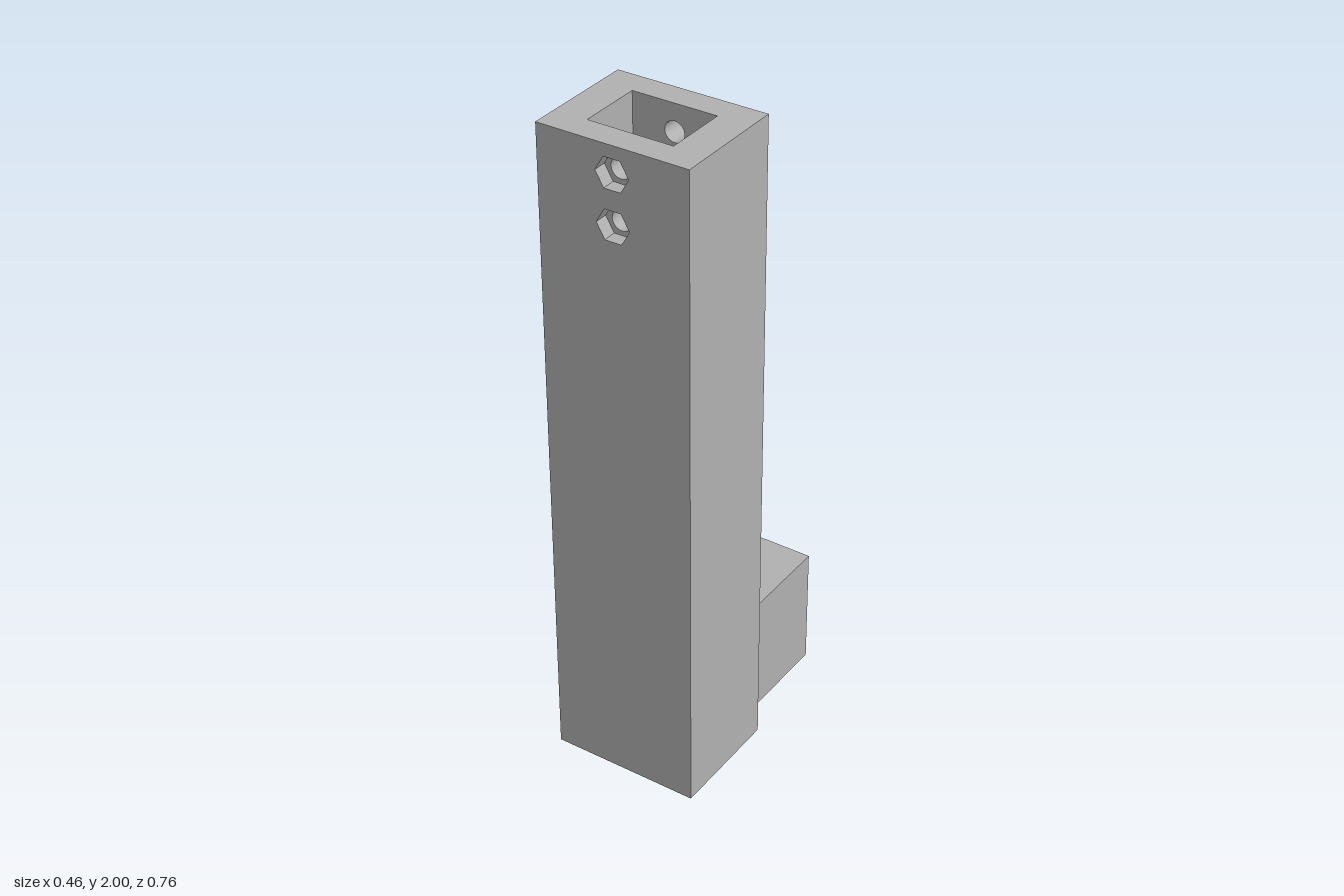
import * as THREE from 'three';
import { mergeGeometries } from 'three/addons/utils/BufferGeometryUtils.js';

const SIDES = 28;

// closed polygon with n sides, first corner pointing along +x
function ring(cx, cy, r, n = SIDES) {
  const pts = [];
  for (let i = 0; i < n; i++) {
    const a = (i / n) * Math.PI * 2;
    pts.push(new THREE.Vector2(cx + r * Math.cos(a), cy + r * Math.sin(a)));
  }
  return new THREE.Path(pts);
}

function rectPoints(x0, y0, x1, y1) {
  return [[x0, y0], [x1, y0], [x1, y1], [x0, y1]].map(p => new THREE.Vector2(...p));
}

// flat rectangle with optional holes, turned to face one axis and placed at depth d;
// shape coordinates: z faces (x, y), y faces (x, z), x faces (z, y)
function panel(facing, d, rect, holes = []) {
  let [x0, y0, x1, y1] = rect;
  if (facing === '+x') [x0, x1] = [-x1, -x0];
  if (facing === '-z') [x0, x1] = [-x1, -x0];
  if (facing === '+y') [y0, y1] = [-y1, -y0];
  const shape = new THREE.Shape(rectPoints(x0, y0, x1, y1));
  shape.holes = holes;
  const g = new THREE.ShapeGeometry(shape);
  const turn = {
    '+z': [0, 0], '-z': [0, Math.PI], '+y': [-Math.PI / 2, 0],
    '-y': [Math.PI / 2, 0], '+x': [0, Math.PI / 2], '-x': [0, -Math.PI / 2]
  }[facing];
  g.rotateX(turn[0]).rotateY(turn[1]);
  const o = { x: [d, 0, 0], y: [0, d, 0], z: [0, 0, d] }[facing[1]];
  return g.translate(...o).toNonIndexed();
}

// open wall of a bore running along z
function bore(y, r, z0, z1, n = SIDES) {
  const g = new THREE.CylinderGeometry(r, r, z1 - z0, n, 1, true, Math.PI / 2);
  g.rotateX(Math.PI / 2).translate(0, y, (z0 + z1) / 2);
  const flat = g.toNonIndexed();
  if (n < 12) flat.computeVertexNormals();
  return flat;
}

export function createModel() {
  const model = new THREE.Group();
  const grey = new THREE.MeshStandardMaterial({ color: 0xb0b0b0, side: THREE.DoubleSide });
  grey.name = 'grey';
  const add = (name, parts) => {
    const mesh = new THREE.Mesh(mergeGeometries(parts), grey);
    mesh.name = name;
    model.add(mesh);
  };

  // column
  const W = 0.2275, F = 0.38, B = 0.028, H = 2;
  const px = 0.128, pf = 0.3, pb = 0.107, floor = 1.69;
  const boltY = [1.92, 1.775], boltR = 0.03, nutR = 0.05, nutZ = 0.34;
  const boltHoles = () => boltY.map(y => ring(0, y, boltR));
  const nutHoles = boltY.map(y => ring(0, y, nutR, 6));
  add('column', [
    panel('+z', F, [-W, 0, W, H], nutHoles),
    panel('-z', B, [-W, 0, W, H], boltHoles()),
    panel('+x', W, [B, 0, F, H]),
    panel('-x', -W, [B, 0, F, H]),
    panel('-y', 0, [-W, B, W, F]),
    panel('+y', H, [-W, B, W, F], [new THREE.Path(rectPoints(-px, -pf, px, -pb))])
  ]);

  // socket sunk into the top of the column
  add('topSocket', [
    panel('-z', pf, [-px, floor, px, H], boltHoles()),
    panel('+z', pb, [-px, floor, px, H], boltHoles()),
    panel('-x', px, [pb, floor, pf, H]),
    panel('+x', -px, [pb, floor, pf, H]),
    panel('+y', floor, [-px, pb, px, pf])
  ]);

  // cross bolt holes with hexagonal nut recesses at the front
  for (const y of boltY) {
    const seat = new THREE.Shape(ring(0, y, nutR, 6).getPoints());
    seat.holes.push(ring(0, y, boltR));
    add('boltHole', [
      bore(y, boltR, B, pb),
      bore(y, boltR, pf, nutZ),
      bore(y, nutR, nutZ, F, 6),
      new THREE.ShapeGeometry(seat).translate(0, 0, nutZ).toNonIndexed()
    ]);
  }

  // foot block behind the column
  const w = 0.164, h = 0.375, back = -0.345, cy = 0.19, holeR = 0.042;
  const sx = 0.09, s0 = -0.32, s1 = -0.26, sTop = 0.28, end = -0.1;
  add('footBlock', [
    panel('-z', back, [-w, 0, w, h], [ring(0, cy, holeR)]),
    panel('+x', w, [back, 0, B, h]),
    panel('-x', -w, [back, 0, B, h]),
    panel('+y', h, [-w, back, w, B]),
    panel('-y', 0, [-w, back, w, B], [new THREE.Path(rectPoints(-sx, s0, sx, s1))])
  ]);

  // nut slot opening under the block
  add('nutSlot', [
    panel('+z', s0, [-sx, 0, sx, sTop], [ring(0, cy, holeR)]),
    panel('-z', s1, [-sx, 0, sx, sTop], [ring(0, cy, holeR)]),
    panel('-x', sx, [s0, 0, s1, sTop]),
    panel('+x', -sx, [s0, 0, s1, sTop]),
    panel('-y', sTop, [-sx, s0, sx, s1])
  ]);

  // centre screw hole, interrupted by the slot
  add('screwHole', [
    bore(cy, holeR, back, s0),
    bore(cy, holeR, s1, end),
    new THREE.CircleGeometry(holeR, SIDES).rotateY(Math.PI).translate(0, cy, end).toNonIndexed()
  ]);

  // four locating pins
  for (const sxn of [-1, 1]) for (const syn of [-1, 1]) {
    const pin = new THREE.CylinderGeometry(0.0255, 0.0255, 0.041, SIDES);
    pin.rotateX(Math.PI / 2).translate(sxn * 0.103, cy + syn * 0.103, -0.3605);
    add('locatingPin', [pin]);
  }
  return model;
}
